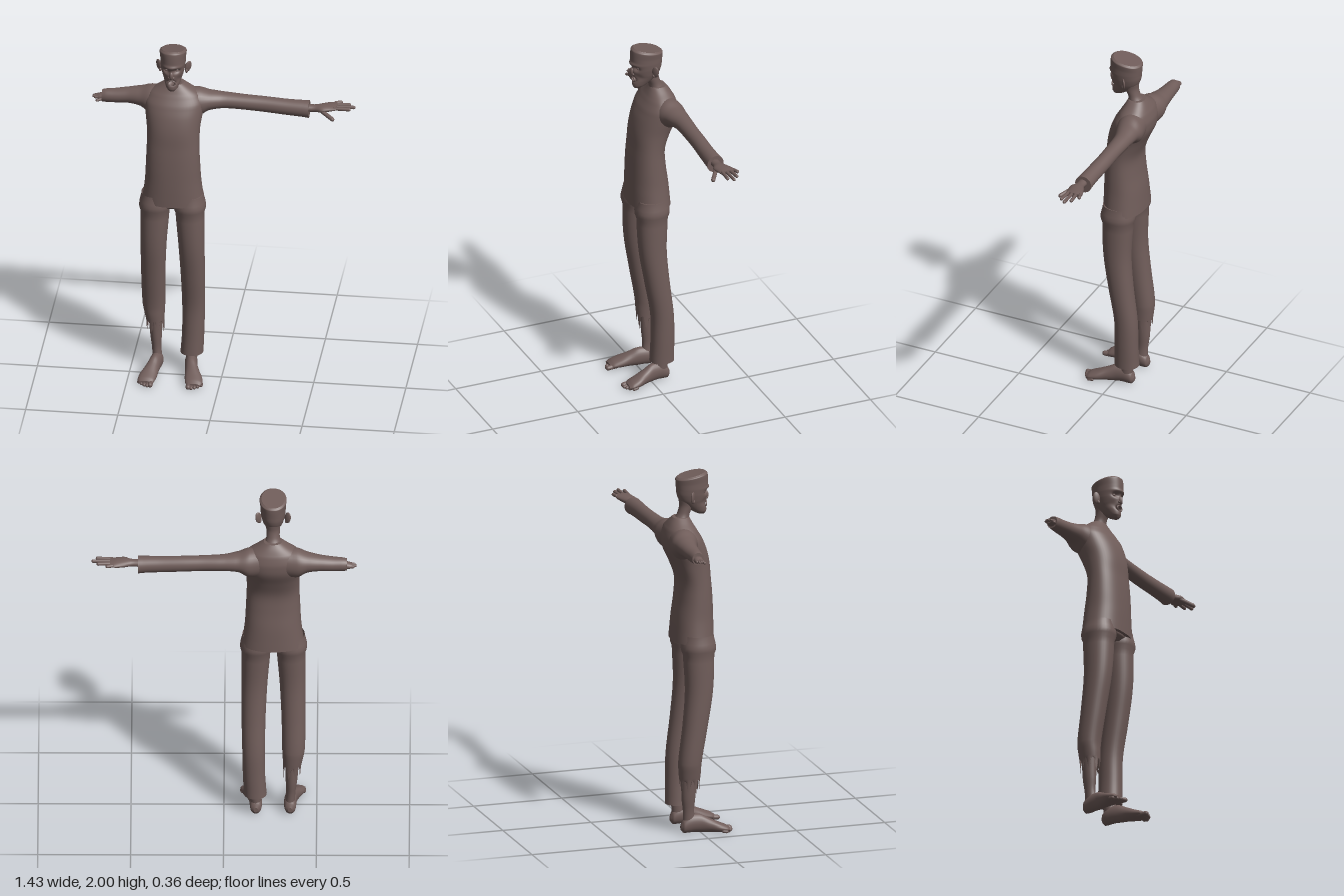
import * as THREE from 'three';

const CX = -0.265; // body centre line
const skinAndCloth = new THREE.MeshStandardMaterial({ color: 0x705d5a, side: THREE.DoubleSide });
skinAndCloth.name = 'dusty brown';

// Smooth skin over elliptical sections [x, y, z, r1, r2] stacked along one axis.
// Radii: axis y -> (x, z), axis x -> (z, y), axis z -> (x, y).
function loft(axis, secs, { steps = 5, n = 32, power = 2, caps = true, deform } = {}) {
  const centre = new THREE.CatmullRomCurve3(secs.map(s => new THREE.Vector3(s[0], s[1], s[2])));
  const radius = new THREE.CatmullRomCurve3(secs.map(s => new THREE.Vector3(s[3], s[4], 0)));
  const k = { x: 0, y: 1, z: 2 }[axis];
  const rows = (secs.length - 1) * steps;
  const forward = secs[secs.length - 1][k] > secs[0][k];
  const pos = [], idx = [];
  for (let j = 0; j <= rows; j++) {
    const t = j / rows, c = centre.getPoint(t), r = radius.getPoint(t);
    for (let i = 0; i < n; i++) {
      const a = (i / n) * Math.PI * 2;
      const round = v => Math.sign(v) * Math.pow(Math.abs(v), 2 / power);
      const cu = round(Math.cos(a)), sv = round(Math.sin(a));
      const p = c.clone();
      if (axis === 'y') { p.z += cu * r.y; p.x += sv * r.x; }
      else if (axis === 'x') { p.y += cu * r.y; p.z += sv * r.x; }
      else { p.x += cu * r.x; p.y += sv * r.y; }
      if (deform) deform(p, t, i);
      pos.push(p.x, p.y, p.z);
    }
  }
  const tri = (a, b, c) => (forward ? idx.push(a, b, c) : idx.push(a, c, b));
  for (let j = 0; j < rows; j++) for (let i = 0; i < n; i++) {
    const a = j * n + i, b = j * n + (i + 1) % n;
    tri(a, b, a + n);
    tri(b, b + n, a + n);
  }
  // End caps use their own vertices so the rims stay crisp
  if (caps) for (const [row, flip] of [[0, true], [rows, false]]) {
    const base = pos.length / 3, mid = new THREE.Vector3();
    for (let i = 0; i < n; i++) {
      const o = (row * n + i) * 3;
      mid.add(new THREE.Vector3(pos[o], pos[o + 1], pos[o + 2]));
      pos.push(pos[o], pos[o + 1], pos[o + 2]);
    }
    mid.divideScalar(n);
    pos.push(mid.x, mid.y, mid.z);
    for (let i = 0; i < n; i++) {
      const a = base + i, b = base + (i + 1) % n;
      flip ? tri(base + n, b, a) : tri(base + n, a, b);
    }
  }
  const g = new THREE.BufferGeometry();
  g.setAttribute('position', new THREE.Float32BufferAttribute(pos, 3));
  g.setIndex(idx);
  g.computeVertexNormals();
  return g;
}

// Rounded stick between two points, for fingers and toes
function stick(p, q, r) {
  const a = new THREE.Vector3(...p), b = new THREE.Vector3(...q), d = b.clone().sub(a);
  const g = new THREE.CapsuleGeometry(r, Math.max(d.length() - 2 * r, 0.001), 4, 10);
  g.applyQuaternion(new THREE.Quaternion().setFromUnitVectors(new THREE.Vector3(0, 1, 0), d.normalize()));
  const m = a.add(b).multiplyScalar(0.5);
  return g.translate(m.x, m.y, m.z);
}

function blob(x, y, z, rx, ry, rz) {
  return new THREE.SphereGeometry(1, 20, 14).scale(rx, ry, rz).translate(x, y, z);
}

export function createModel() {
  const root = new THREE.Group();
  root.name = 'barefootFigure';
  const add = (name, geometry) => {
    const m = new THREE.Mesh(geometry, skinAndCloth);
    m.name = name;
    root.add(m);
  };

  // Shirt body, hem to collar
  add('shirtBody', loft('y', [
    [CX, 1.065, -0.02, 0.168, 0.112], [CX, 1.12, -0.018, 0.16, 0.11], [CX, 1.2, -0.015, 0.151, 0.106],
    [CX, 1.3, -0.01, 0.146, 0.097], [CX, 1.4, -0.012, 0.142, 0.091], [CX, 1.5, -0.033, 0.144, 0.104],
    [CX, 1.58, -0.06, 0.155, 0.112], [CX, 1.64, -0.075, 0.16, 0.102], [CX, 1.69, -0.083, 0.135, 0.08],
    [CX, 1.725, -0.083, 0.085, 0.06], [CX, 1.75, -0.08, 0.05, 0.045],
  ], { power: 2.25, n: 48 }));

  // Sleeves
  add('leftSleeve', loft('x', [
    [-0.22, 1.63, -0.09, 0.075, 0.085], [-0.14, 1.625, -0.1, 0.077, 0.083], [-0.08, 1.634, -0.108, 0.064, 0.055],
    [0, 1.634, -0.117, 0.049, 0.044], [0.12, 1.629, -0.116, 0.043, 0.042], [0.22, 1.624, -0.115, 0.042, 0.043],
    [0.34, 1.618, -0.11, 0.043, 0.044], [0.43, 1.615, -0.108, 0.046, 0.046], [0.462, 1.613, -0.108, 0.048, 0.048],
  ]));
  add('rightSleeve', loft('x', [
    [-0.31, 1.63, -0.09, 0.075, 0.085], [-0.39, 1.625, -0.1, 0.077, 0.083], [-0.45, 1.634, -0.11, 0.062, 0.055],
    [-0.52, 1.632, -0.115, 0.048, 0.043], [-0.59, 1.625, -0.113, 0.041, 0.039], [-0.64, 1.622, -0.112, 0.036, 0.037],
    [-0.662, 1.62, -0.112, 0.032, 0.034],
  ]));

  // Left hand, spread flat
  add('leftPalm', loft('x', [
    [0.44, 1.622, -0.105, 0.026, 0.021], [0.49, 1.623, -0.105, 0.024, 0.019], [0.535, 1.627, -0.105, 0.042, 0.02],
    [0.58, 1.631, -0.117, 0.046, 0.017], [0.612, 1.634, -0.119, 0.044, 0.011],
  ], { steps: 4, n: 20 }));
  [[-0.153, 0.637, -0.167], [-0.133, 0.685, -0.141], [-0.11, 0.713, -0.112], [-0.088, 0.69, -0.084]]
    .forEach(([z, x, tipZ], i) => add('leftFinger' + (i + 1), stick([0.59, 1.635, z], [x, 1.637, tipZ], 0.0095)));
  add('leftThumb', stick([0.525, 1.623, -0.085], [0.605, 1.594, -0.03], 0.0115));

  // Right hand, small and drawn up into the cuff
  add('rightPalm', loft('x', [
    [-0.64, 1.618, -0.112, 0.025, 0.022], [-0.67, 1.615, -0.112, 0.025, 0.019], [-0.694, 1.614, -0.113, 0.021, 0.012],
  ], { n: 20 }));
  for (let i = 0; i < 4; i++) {
    const z = -0.129 + i * 0.011;
    add('rightFinger' + (i + 1), stick([-0.675, 1.616, z], [i === 0 || i === 3 ? -0.705 : -0.715, 1.614, z], 0.007));
  }
  add('rightThumb', stick([-0.655, 1.61, -0.095], [-0.694, 1.6, -0.08], 0.008));

  // Trousers: seat, full left leg, torn right leg
  add('trouserSeat', loft('y', [
    [CX, 1.035, -0.012, 0.07, 0.06], [CX, 1.06, -0.012, 0.12, 0.085], [CX, 1.12, -0.015, 0.14, 0.09],
  ]));
  const legs = [
    [-0.178, 1.11, -0.012, 0.078, 0.085], [-0.173, 1.0, -0.01, 0.078, 0.085], [-0.165, 0.8, -0.01, 0.07, 0.076],
    [-0.16, 0.6, -0.034, 0.065, 0.068], [-0.16, 0.4, -0.063, 0.061, 0.063],
  ];
  add('leftTrouserLeg', loft('y', [...legs,
    [-0.162, 0.25, -0.066, 0.06, 0.064], [-0.167, 0.15, -0.065, 0.061, 0.066], [-0.169, 0.118, -0.065, 0.062, 0.067],
  ], { power: 2.15 }));
  add('rightTrouserLeg', loft('y', [
    ...legs.map(([x, y, z, a, b]) => [2 * CX - x - 0.005, y, z, a, b]),
    [-0.371, 0.34, -0.063, 0.054, 0.06], [-0.366, 0.285, -0.062, 0.047, 0.055],
  ], {
    power: 2.15, caps: false,
    deform: (p, t, i) => { // ragged hem
      if (t > 0.96) p.y += [0.05, 0.015, -0.05, -0.01, 0.03, -0.025, -0.06, 0.01][(i * 3) % 8] * (t > 0.99 ? 1 : 0.3);
    },
  }));

  // Shins and bare feet
  add('rightShin', loft('y', [
    [-0.355, 0.05, -0.06, 0.028, 0.036], [-0.36, 0.12, -0.066, 0.025, 0.031],
    [-0.364, 0.2, -0.068, 0.031, 0.038], [-0.37, 0.36, -0.065, 0.038, 0.044],
  ], { n: 24 }));
  add('leftShin', loft('y', [
    [-0.172, 0.05, -0.06, 0.03, 0.036], [-0.17, 0.12, -0.065, 0.032, 0.036], [-0.168, 0.18, -0.066, 0.036, 0.04],
  ], { n: 24 }));
  for (const [side, heel, s] of [['left', -0.172, 1], ['right', -0.357, -1]]) {
    add(side + 'Foot', loft('z', [
      [heel, 0.034, -0.108, 0.012, 0.014], [heel, 0.04, -0.095, 0.029, 0.036], [heel, 0.053, -0.06, 0.034, 0.05],
      [heel + s * 0.006, 0.054, -0.01, 0.034, 0.051], [heel + s * 0.018, 0.043, 0.04, 0.039, 0.04],
      [heel + s * 0.031, 0.031, 0.09, 0.048, 0.029], [heel + s * 0.037, 0.023, 0.13, 0.046, 0.02],
      [heel + s * 0.038, 0.018, 0.15, 0.036, 0.012],
    ], { n: 24, deform: p => { p.y = Math.max(p.y, 0.003); } }));
    // Toes, big toe innermost
    for (let i = 0; i < 5; i++) {
      const x = heel + s * (0.008 + i * 0.0165), r = i ? 0.0095 : 0.0135;
      add(side + 'Toe' + (i + 1), stick([x, r + 0.006, 0.1], [x + s * 0.003, r, 0.177 - i * i * 0.0025], r));
    }
  }

  // Neck
  add('neck', loft('y', [
    [CX, 1.69, -0.082, 0.075, 0.06], [CX, 1.73, -0.077, 0.047, 0.044], [CX, 1.77, -0.062, 0.036, 0.034],
    [CX, 1.81, -0.048, 0.037, 0.038], [CX, 1.85, -0.045, 0.045, 0.045],
  ], { n: 28 }));

  // Head with flat sloping crown, sunken eyes and open mouth
  const dent = (p, x, y, rx, ry) => Math.exp(-(((p.x - CX - x) / rx) ** 2) - ((p.y - y) / ry) ** 2);
  add('head', loft('y', [
    [CX, 1.758, 0.038, 0.016, 0.018], [CX, 1.773, 0.027, 0.031, 0.037], [CX, 1.805, 0.006, 0.044, 0.06],
    [CX, 1.84, -0.01, 0.056, 0.077], [CX, 1.875, -0.015, 0.064, 0.085], [CX, 1.91, -0.015, 0.068, 0.088],
    [CX, 1.945, -0.016, 0.069, 0.089], [CX, 1.985, -0.018, 0.073, 0.088], [CX, 1.998, -0.02, 0.062, 0.076],
  ], {
    n: 64, steps: 8, power: 2.1,
    deform: p => {
      if (p.z > 0) {
        const eyes = dent(p, 0.028, 1.884, 0.017, 0.013) + dent(p, -0.028, 1.884, 0.017, 0.013);
        const cheeks = dent(p, 0.04, 1.83, 0.016, 0.02) + dent(p, -0.04, 1.83, 0.016, 0.02);
        p.z += 0.008 * dent(p, 0, 1.908, 0.05, 0.009) - 0.02 * eyes - 0.01 * cheeks
          - 0.028 * dent(p, 0, 1.812, 0.02, 0.012);
      }
      if (p.y > 1.9) p.y -= (0.06 - p.z) * 0.2 * (p.y - 1.9) / 0.1;
    },
  }));
  add('nose', blob(CX, 1.858, 0.066, 0.012, 0.024, 0.013));
  add('mouthRim', new THREE.TorusGeometry(0.02, 0.005, 8, 24).scale(1, 0.75, 1).rotateX(0.12).translate(CX, 1.812, 0.06));
  for (const [side, s] of [['left', 1], ['right', -1]]) {
    add(side + 'Nostril', blob(CX + s * 0.011, 1.846, 0.063, 0.008, 0.007, 0.009));
    add(side + 'Eye', blob(CX + s * 0.028, 1.884, 0.042, 0.011, 0.009, 0.009));
    add(side + 'Ear', blob(0, 0, 0, 0.008, 0.033, 0.02).rotateY(s * -0.9).rotateZ(s * -0.15)
      .translate(CX + s * 0.079, 1.87, -0.036));
    add(side + 'EarLobe', blob(CX + s * 0.071, 1.845, -0.03, 0.008, 0.012, 0.01));
  }
  return root;
}
